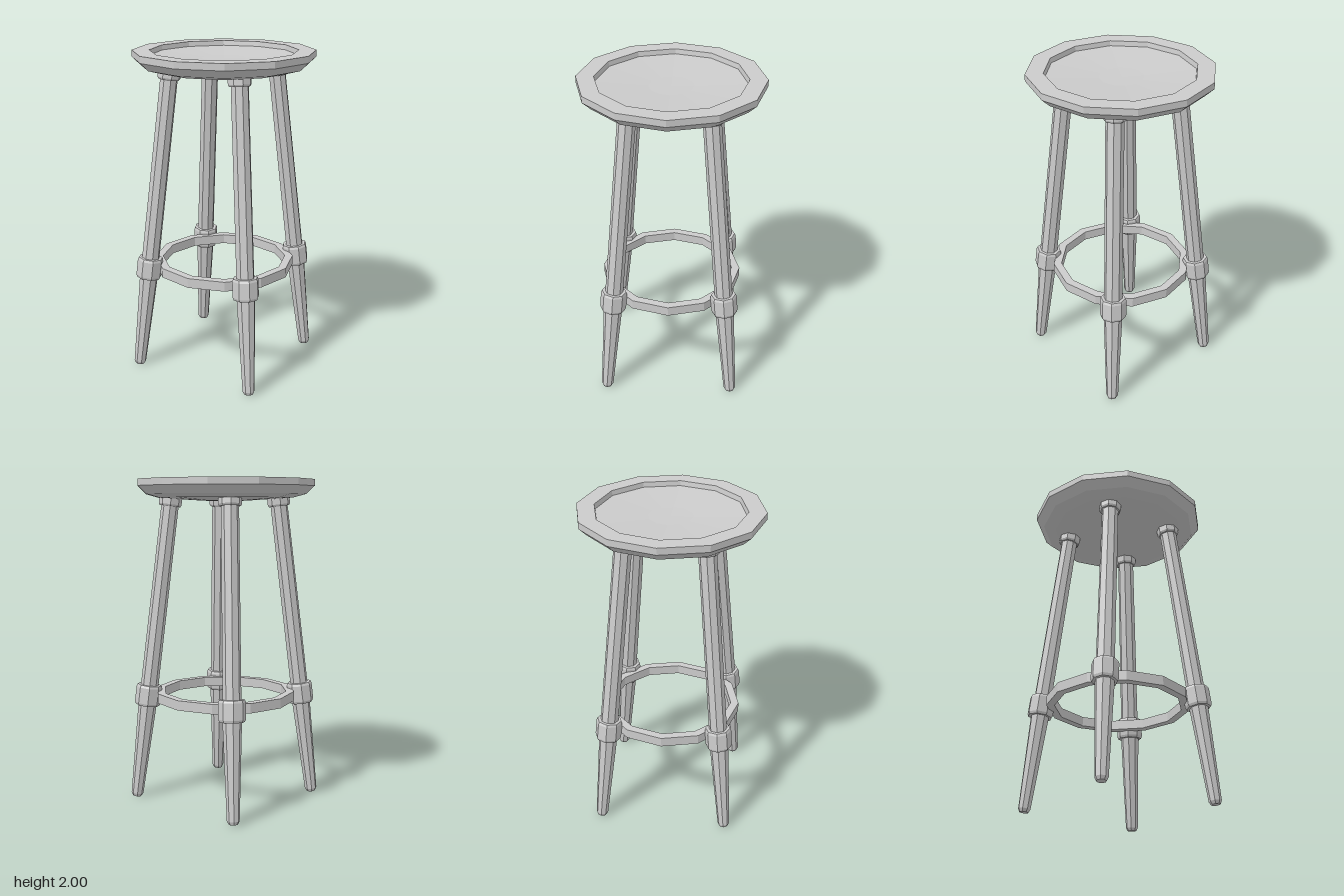
import * as THREE from 'three';

const material = new THREE.MeshStandardMaterial({ color: 0xcccccc, flatShading: true });

// Faceted turned part from [radius, height] pairs
function turned(name, profile, sides) {
  const points = profile.map(([r, y]) => new THREE.Vector2(r, y));
  const mesh = new THREE.Mesh(new THREE.LatheGeometry(points, sides), material);
  mesh.name = name;
  return mesh;
}

// One splayed leg, standing at (x, z); heights run along its own axis
function createLeg(name, sx, sz) {
  const leg = new THREE.Group();
  leg.name = name;
  leg.add(
    turned('legShaft', [[0, 0], [0.028, 0], [0.038, 0.02], [0.058, 0.62], [0.055, 0.75], [0.053, 1.91], [0, 1.91]], 8),
    turned('footringCollar', [[0.055, 0.6], [0.075, 0.6], [0.081, 0.615], [0.081, 0.715], [0.075, 0.73], [0.055, 0.73]], 8),
    turned('seatCollar', [[0.05, 1.85], [0.063, 1.85], [0.07, 1.862], [0.07, 1.91], [0.05, 1.91]], 8),
  );
  const foot = new THREE.Vector3(0.4 * sx, 0.003, 0.4 * sz);
  const top = new THREE.Vector3(0.235 * sx, 1.88, 0.235 * sz);
  leg.position.copy(foot);
  leg.quaternion.setFromUnitVectors(new THREE.Vector3(0, 1, 0), top.sub(foot).normalize());
  return leg;
}

export function createModel() {
  const stool = new THREE.Group();
  stool.name = 'barStool';

  // Twelve-sided seat with a rounded underside and a shallow dish on top
  stool.add(turned('seat', [
    [0, 1.868], [0.14, 1.872], [0.42, 1.89], [0.5, 1.912], [0.55, 1.96], [0.55, 2],
    [0.445, 2], [0.44, 1.97], [0.133, 1.952], [0, 1.95],
  ], 12));

  // Flat-sided foot ring joining the legs
  stool.add(turned('footRing', [[0.39, 0.63], [0.44, 0.63], [0.44, 0.69], [0.39, 0.69], [0.39, 0.63]], 12));

  stool.add(
    createLeg('frontLeftLeg', 1, 1),
    createLeg('frontRightLeg', -1, 1),
    createLeg('backLeftLeg', 1, -1),
    createLeg('backRightLeg', -1, -1),
  );
  return stool;
}
